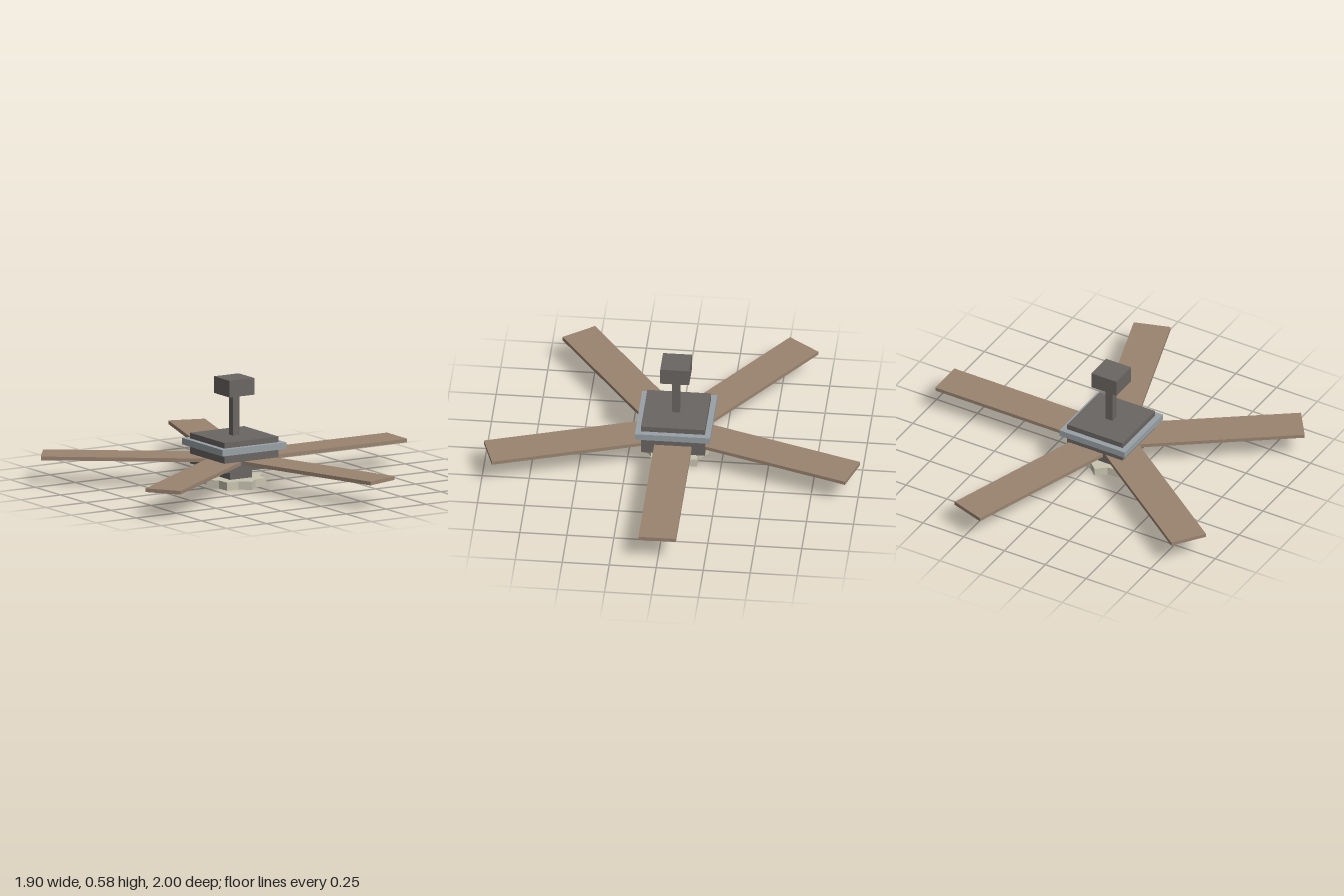
import * as THREE from 'three';

const mat = (name, color) => {
  const m = new THREE.MeshStandardMaterial({ color });
  m.name = name;
  return m;
};

export function createModel() {
  const fan = new THREE.Group();
  fan.name = 'ceilingFan';
  const metal = mat('darkMetal', 0x6a6562);
  const steel = mat('paleSteel', 0x98a1a6);
  const wood = mat('wood', 0x9a8470);
  const glass = mat('creamGlass', 0xc8c3b0);

  // Square block of half-width r between heights y0 and y1
  const block = (name, r, y0, y1, material) => {
    const mesh = new THREE.Mesh(new THREE.BoxGeometry(2 * r, y1 - y0, 2 * r), material);
    mesh.position.y = (y0 + y1) / 2;
    mesh.name = name;
    fan.add(mesh);
  };
  block('ceilingMount', 0.077, 0.49, 0.58, metal);
  block('downRod', 0.021, 0.27, 0.49, metal);
  block('motorHousing', 0.17, 0.105, 0.27, metal);
  block('trimBand', 0.2, 0.205, 0.24, steel);
  block('lightNeck', 0.069, 0.044, 0.105, metal);

  // Five flat blades around the motor
  const bladeGeometry = new THREE.BoxGeometry(0.92, 0.02, 0.2).translate(0.56, 0, 0);
  for (let i = 0; i < 5; i++) {
    const blade = new THREE.Mesh(bladeGeometry, wood);
    blade.position.y = 0.148;
    blade.rotation.y = (i * Math.PI * 2) / 5;
    blade.name = 'blade' + (i + 1);
    fan.add(blade);
  }

  // Eight-pointed light shade
  const star = [];
  for (let i = 0; i < 16; i++) {
    const r = i % 2 ? 0.138 : 0.174;
    const a = (i * Math.PI) / 8;
    star.push(new THREE.Vector2(r * Math.cos(a), r * Math.sin(a)));
  }
  const shadeGeometry = new THREE.ExtrudeGeometry(new THREE.Shape(star), { depth: 0.044, bevelEnabled: false });
  shadeGeometry.rotateX(-Math.PI / 2);
  const shade = new THREE.Mesh(shadeGeometry, glass);
  shade.name = 'lightShade';
  fan.add(shade);

  // The hub sits off centre so that the blade span is centred
  fan.children.forEach((part) => { part.position.x = -0.07; });
  const model = new THREE.Group();
  model.name = 'fanModel';
  model.add(fan);
  return model;
}
